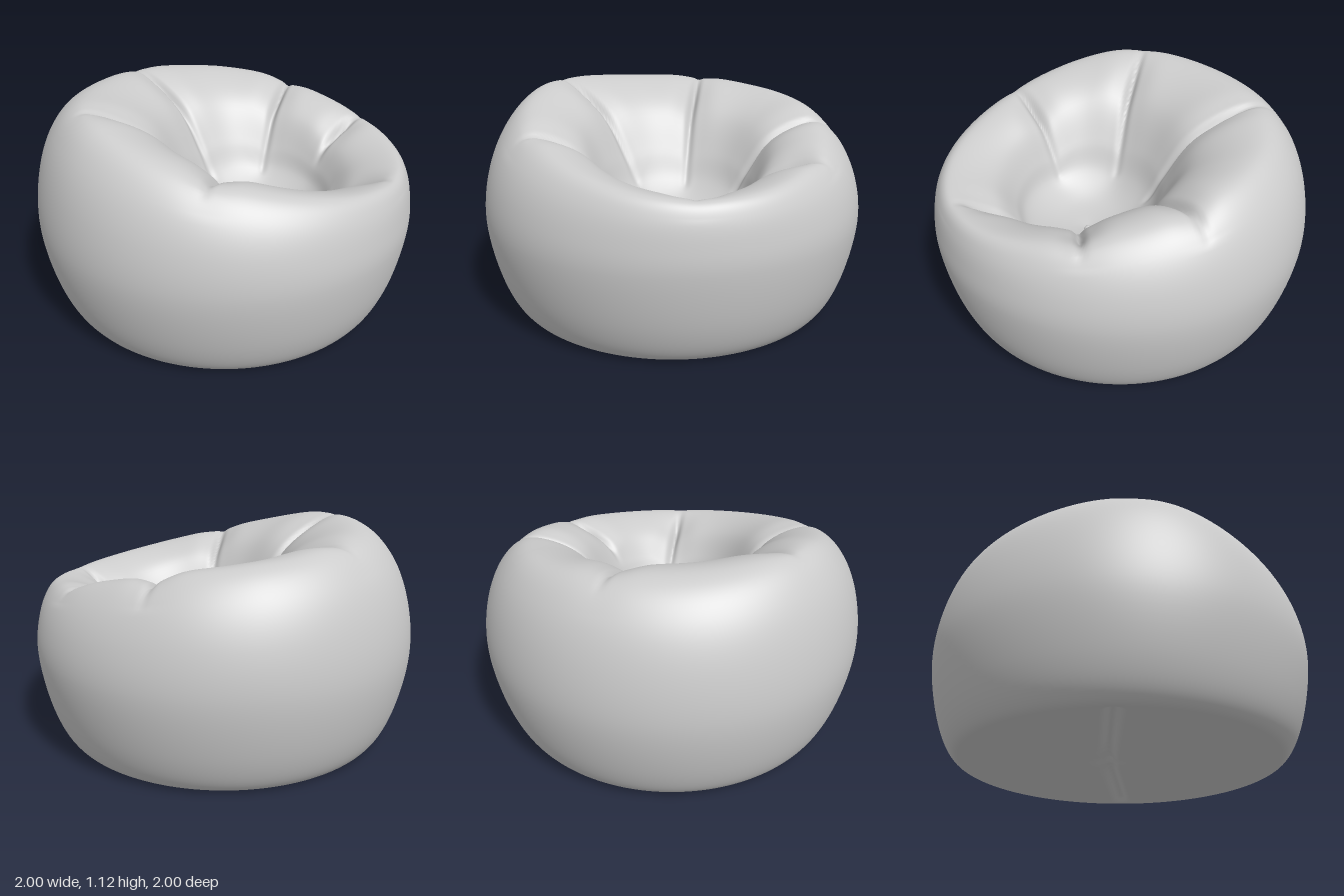
import * as THREE from 'three';
import { mergeVertices } from 'three/addons/utils/BufferGeometryUtils.js';

const SEAT_X = 0.2; // the hollow sits off centre, towards the low side

// Folds as [outer x, outer z, inner x, inner z]
const SEAT_FOLDS = [
  [-0.72, -0.3, -0.12, -0.1],
  [-0.5, 0.56, -0.1, 0.19],
  [0.25, 0.78, 0.2, 0.36],
  [0.88, 0.05, 0.55, -0.02],
  [0.58, -0.65, 0.44, -0.34],
  [0.08, -0.87, 0.1, -0.33],
];
const BASE_FOLDS = [
  [0.56, -0.51, -0.03, -0.06],
  [-0.58, 0.5, -0.03, -0.06],
  [-0.54, -0.5, -0.1, -0.08],
];

// Distance from a point to a fold, and how far along the fold it lies
function nearFold(x, z, [ax, az, bx, bz]) {
  const dx = bx - ax, dz = bz - az;
  const along = THREE.MathUtils.clamp(((x - ax) * dx + (z - az) * dz) / (dx * dx + dz * dz), 0, 1);
  return { along, distance: Math.hypot(x - ax - along * dx, z - az - along * dz) };
}

const groove = (distance, width) => Math.exp(-((distance / width) ** 2));

// Cross-section from the middle of the base, up the side, over the rim, into the seat
function sectionCurve(angle) {
  const c = Math.cos(angle), s = Math.sin(angle);
  const points = [];
  const add = (r, y) => points.push(new THREE.Vector3(r * c, y, r * s));
  [[0, 0.02], [0.4, 0.018], [0.76, 0.01], [0.835, 0.012], [0.885, 0.06], [0.952, 0.22], [1, 0.5]]
    .forEach(([r, y]) => add(r, y));

  // Rounded shoulder up to the sloping rim, which sags between two of the back folds
  const rimR = 0.74 + 0.05 * c ** 2 + 0.12 * c ** 3;
  const rimX = rimR * c;
  const sag = 0.045 * groove(angle - 4.1, 0.45);
  const rimY = 1.02 - 0.23 * rimX - 0.5 * Math.max(0, -rimX - 0.3) ** 2 + 0.015 * s - sag;
  for (const deg of [25, 48, 70, 90]) {
    const a = THREE.MathUtils.degToRad(deg);
    const run = Math.max(0, Math.cos(a)) ** (1 + 0.2 * s * s);
    add(rimR + (1 - rimR) * run, 0.5 + (rimY - 0.5) * Math.sin(a));
  }

  // Puffed inner wall, then the bowl of the seat
  const footX = SEAT_X + 0.33 * c, footZ = 0.33 * s, bowlY = 0.5;
  for (const [f, drop] of [[0.3, 0.06], [0.6, 0.24], [0.85, 0.6], [1, 0.86]]) {
    points.push(new THREE.Vector3(
      THREE.MathUtils.lerp(rimX, footX, f),
      THREE.MathUtils.lerp(rimY, bowlY, drop),
      THREE.MathUtils.lerp(rimR * s, footZ, f)));
  }
  points.push(new THREE.Vector3(SEAT_X + 0.2 * c, 0.475, 0.2 * s));
  points.push(new THREE.Vector3(SEAT_X, 0.43, 0));
  return new THREE.CatmullRomCurve3(points);
}

function bagGeometry(columns = 360, rows = 110) {
  const positions = [], index = [];
  for (let i = 0; i < columns; i++) {
    const curve = sectionCurve((i / columns) * Math.PI * 2);
    for (let j = 0; j <= rows; j++) {
      const t = j / rows;
      const p = curve.getPoint(t);
      // Press the folds into the seat (deeper towards the hollow) and the base
      if (t > 0.5) {
        for (const fold of SEAT_FOLDS) {
          const { along, distance } = nearFold(p.x, p.z, fold);
          const depth = THREE.MathUtils.smoothstep(along, -0.15, 0.55) * (1 - 0.7 * along ** 4);
          p.y -= depth * (0.05 * groove(distance, 0.09) + 0.05 * groove(distance, 0.022));
        }
      } else if (t < 0.2) {
        BASE_FOLDS.forEach((fold, k) => {
          p.y += (k < 2 ? 0.035 : 0.01) * groove(nearFold(p.x, p.z, fold).distance, 0.035);
        });
      }
      positions.push(p.x, p.y, p.z);

      if (j < rows) {
        const a = i * (rows + 1) + j;
        const b = ((i + 1) % columns) * (rows + 1) + j;
        index.push(a, a + 1, b, b, a + 1, b + 1);
      }
    }
  }
  const raw = new THREE.BufferGeometry();
  raw.setAttribute('position', new THREE.Float32BufferAttribute(positions, 3));
  raw.setIndex(index);
  const geometry = mergeVertices(raw, 1e-5);
  geometry.computeVertexNormals();
  return geometry;
}

export function createModel() {
  const group = new THREE.Group();
  group.name = 'beanBagChair';
  const material = new THREE.MeshStandardMaterial({ color: 0xcccccc });

  const bag = new THREE.Mesh(bagGeometry(), material);
  bag.name = 'bag';
  group.add(bag);

  // Small gathered knot in the middle of the seat
  const knot = new THREE.Mesh(new THREE.SphereGeometry(0.022, 16, 12), material);
  knot.name = 'seatKnot';
  knot.position.set(0.215, 0.435, -0.02);
  group.add(knot);

  return group;
}
